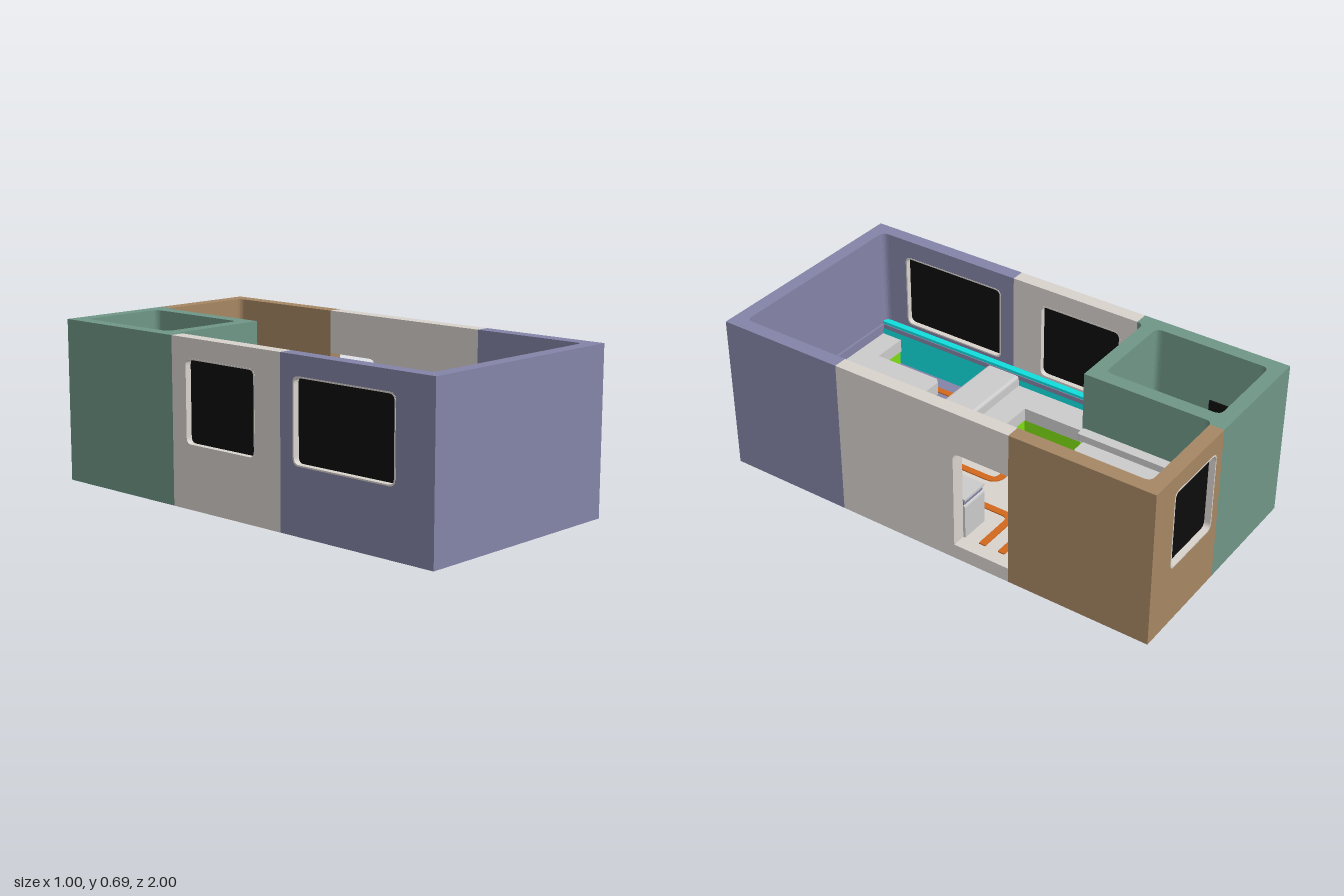
import * as THREE from 'three';

const COLORS = {
  purple: 0x8484a8, green: 0x6f9686, brown: 0xa68763, pale: 0xd9d3ce, orange: 0xd2691e,
  cyan: 0x10dede, lime: 0x7fdd14, yellow: 0xd4d410, black: 0x0c0c0c, grey: 0xcccccc,
};
const MATS = {};
for (const k in COLORS) MATS[k] = new THREE.MeshStandardMaterial({ color: COLORS[k] });

const H = 0.69, FLOOR = 0.065, T = 0.06;
const poly = pts => new THREE.Shape(pts.map(p => new THREE.Vector2(...p)));
const rect = (a, b, c, d) => poly([[a, c], [b, c], [b, d], [a, d]]);

function rounded(a, b, c, d, r, type = THREE.Shape) {
  const s = new type();
  s.moveTo(a + r, c).lineTo(b - r, c).quadraticCurveTo(b, c, b, c + r);
  s.lineTo(b, d - r).quadraticCurveTo(b, d, b - r, d);
  s.lineTo(a + r, d).quadraticCurveTo(a, d, a, d - r);
  s.lineTo(a, c + r).quadraticCurveTo(a, c, a + r, c);
  return s;
}

export function createModel() {
  const model = new THREE.Group();

  const add = (name, color, geo, parent = model) => {
    const m = new THREE.Mesh(geo, MATS[color]);
    m.name = name;
    parent.add(m);
    return m;
  };
  const extrude = (shape, depth) => new THREE.ExtrudeGeometry(shape, { depth, bevelEnabled: false, curveSegments: 6 });
  // plan shape in (x, z), from y0 up to y1
  const slab = (name, color, shape, y0, y1) =>
    add(name, color, extrude(shape, y1 - y0).rotateX(Math.PI / 2).translate(0, y1, 0));
  // upright panel in (x, y), from z0 to z1
  const panelX = (name, color, shape, z0, z1) =>
    add(name, color, extrude(shape, z1 - z0).translate(0, 0, z0));
  // upright panel in (z, y), from x0 to x1
  const panelZ = (name, color, shape, x0, x1) =>
    add(name, color, extrude(shape, x1 - x0).rotateY(-Math.PI / 2).translate(x1, 0, 0));
  const box = (name, color, x0, x1, y0, y1, z0, z1) =>
    add(name, color, new THREE.BoxGeometry(x1 - x0, y1 - y0, z1 - z0)
      .translate((x0 + x1) / 2, (y0 + y1) / 2, (z0 + z1) / 2));

  // Wall with a framed, glazed window
  function windowWall(name, color, panel, a, b, w, t0, t1, g0) {
    const wall = rect(a, b, 0, H);
    wall.holes.push(rounded(...w, 0.03, THREE.Path));
    panel(name, color, wall, t0, t1);
    const [p, q, r, s] = w, e = 0.006;
    const frame = rounded(p, q, r, s, 0.03);
    frame.holes.push(rounded(p + e, q - e, r + e, s - e, 0.026, THREE.Path));
    panel(name + 'Frame', 'pale', frame, t0 - 0.001, t1 + 0.001);
    panel(name + 'Glass', 'black', rounded(p + e, q - e, r + e, s - e, 0.026), g0, g0 + 0.012);
  }

  // Left-hand (-x) side walls
  panelZ('bathSideWall', 'green', rect(-1, -0.35, 0, H), -0.5, -0.44);
  windowWall('loungeWindowWall', 'pale', panelZ, -0.35, 0.25, [-0.275, 0.115, 0.26, 0.61], -0.5, -0.44, -0.474);
  windowWall('frontWindowWall', 'purple', panelZ, 0.25, 1, [0.315, 0.82, 0.27, 0.61], -0.5, -0.44, -0.474);
  // Door-side (+x) walls
  panelZ('backSideWall', 'brown', rect(-1, -0.375, 0, H), 0.44, 0.5);
  const doorWall = poly([[-0.375, 0], [0.435, 0], [0.435, H], [-0.375, H], [-0.375, 0.505], [-0.15, 0.505]]);
  doorWall.quadraticCurveTo(-0.12, 0.505, -0.12, 0.475).lineTo(-0.12, FLOOR).lineTo(-0.375, FLOOR);
  panelZ('entranceWall', 'pale', doorWall, 0.44, 0.5);
  panelZ('frontSideWall', 'purple', rect(0.435, 1, 0, H), 0.44, 0.5);
  // End walls
  panelX('frontWall', 'purple', rect(-0.44, 0.44, 0, H), 0.94, 1);
  panelX('bathBackWall', 'green', rect(-0.44, 0.02, 0, H), -1, -0.94);
  windowWall('backWindowWall', 'brown', panelX, 0.02, 0.44, [0.064, 0.365, 0.26, 0.615], -1, -0.94, -0.974);
  // Bathroom partitions and doorway
  panelZ('bathPartition', 'green', rect(-0.94, -0.38, 0, H), -T, 0);
  const bathFront = rect(-0.44, -T, 0, H);
  bathFront.holes.push(rounded(-0.25, -0.07, FLOOR, 0.505, 0.025, THREE.Path));
  panelX('bathDoorWall', 'green', bathFront, -0.44, -0.38);

  // Floors
  slab('bathFloor', 'green', rect(-0.44, -T, -0.94, -0.44), 0, FLOOR);
  slab('backFloor', 'brown', rect(0, 0.44, -0.94, -0.38), 0, FLOOR);
  slab('loungeFloor', 'pale', poly([[-0.44, -0.38], [0.44, -0.38], [0.44, 0.435], [0, 0.435], [0, 0.25], [-0.44, 0.25]]), 0, FLOOR);
  slab('frontFloor', 'purple', poly([[-0.44, 0.25], [0, 0.25], [0, 0.435], [0.44, 0.435], [0.44, 0.94], [-0.44, 0.94]]), 0, FLOOR);

  // Rounded inside corners of the rooms
  const fillets = [
    ['green', -0.44, -0.94, 1, 1], ['green', -T, -0.94, -1, 1], ['green', -0.44, -0.44, 1, -1], ['green', -T, -0.44, -1, -1],
    ['green', 0, -0.94, 1, 1], ['brown', 0.44, -0.94, -1, 1], ['green', -0.44, -0.38, 1, 1],
    ['purple', -0.44, 0.94, 1, -1], ['purple', 0.44, 0.94, -1, -1],
  ];
  for (const [c, x, z, sx, sz] of fillets) {
    const r = 0.03, s = new THREE.Shape();
    s.moveTo(x, z).lineTo(x + sx * r, z).quadraticCurveTo(x, z, x, z + sz * r);
    slab('cornerFillet', c, s, FLOOR, H);
  }

  // Floor tracks: straight runs joined by rounded bends, with a flat section
  function track(pts, r = 0.045, w = 0.03) {
    const v = pts.map(p => new THREE.Vector2(...p)), line = [v[0]];
    for (let i = 1; i < v.length - 1; i++) {
      const toward = o => v[i].clone().lerp(o, Math.min(r / v[i].distanceTo(o), 0.5));
      line.push(...new THREE.QuadraticBezierCurve(toward(v[i - 1]), v[i], toward(v[i + 1])).getPoints(6));
    }
    line.push(v[v.length - 1]);
    const left = [], right = [];
    line.forEach((p, i) => {
      const d = line[Math.min(i + 1, line.length - 1)].clone().sub(line[Math.max(i - 1, 0)]).normalize();
      left.push([p.x - d.y * w / 2, p.y + d.x * w / 2]);
      right.unshift([p.x + d.y * w / 2, p.y - d.x * w / 2]);
    });
    slab('floorTrack', 'orange', poly([...left, ...right]), FLOOR - 0.01, FLOOR + 0.005);
  }
  track([[0.44, -0.3], [0.265, -0.3], [0.265, -0.74], [0.14, -0.74], [0.14, -0.365], [-0.147, -0.365], [-0.147, -0.68]]);
  track([[0.44, -0.21], [0.23, -0.21], [0.23, 0.765], [0.073, 0.765], [0.073, 0.42], [-0.33, 0.42], [-0.33, 0.81]]);
  track([[-0.33, 0.385], [0.073, 0.385], [0.073, -0.02], [-0.205, -0.02], [-0.205, -0.48], [-0.3, -0.5], [-0.31, -0.68], [-0.44, -0.68]]);
  track([[-0.27, -0.94], [-0.27, -0.68], [-T, -0.68]], 0.06);
  for (const [x, z, w, d] of [[-0.25, -0.1, 0.08, 0.055], [-0.13, 0.035, 0.055, 0.1], [-0.13, 0.46, 0.055, 0.08], [-0.29, 0.62, 0.08, 0.055], [0.035, 0.62, 0.1, 0.055]])
    box('trackBranch', 'orange', x - w / 2, x + w / 2, FLOOR - 0.01, FLOOR + 0.004, z - d / 2, z + d / 2);

  // Wall panel and the band that runs round the rooms
  box('wallPanel', 'cyan', -0.44, -0.41, FLOOR, 0.255, -0.38, 0.94);
  box('sideBand', 'purple', -0.415, -0.406, 0.222, 0.243, -0.38, 0.94);
  box('doorBand', 'purple', -0.41, -0.25, 0.222, 0.243, -0.38, -0.372);
  box('frontBand', 'purple', -0.41, 0.31, 0.222, 0.243, 0.93, 0.94);
  box('bathBand', 'purple', -0.43, -0.07, 0.222, 0.243, -0.94, -0.932);

  // Lounge corner seat with a backrest
  const lSeat = i => poly([[-0.41, -0.2 + i], [-0.28 - i, -0.2 + i], [-0.28 - i, 0.08 + i], [-0.02, 0.08 + i], [-i, 0.1 + i], [-i, 0.2], [-0.41, 0.2]]);
  slab('seatBase', 'lime', lSeat(0.006), FLOOR, 0.13);
  slab('seatCushion', 'grey', lSeat(0), 0.13, 0.19);
  panelZ('seatBack', 'grey', rounded(0.2, 0.36, FLOOR, 0.24, 0.015), -0.41, -T);
  panelZ('seatBackEnd', 'grey', rounded(0.2, 0.37, FLOOR, 0.238, 0.015), -T, 0);

  // Front bench with a projecting bed section and a basin
  const bench = i => poly([[-0.41, 0.84 + i], [-0.25 + i, 0.84 + i], [-0.25 + i, 0.52 + i], [-0.23, 0.5 + i],
    [-0.02, 0.5 + i], [-i, 0.52 + i], [-i, 0.84 + i], [0.31, 0.84 + i], [0.31, 0.94], [-0.41, 0.94]]);
  slab('benchBase', 'lime', bench(0.006), FLOOR, 0.13);
  slab('benchTop', 'grey', bench(0), 0.13, 0.19);
  const rim = rounded(0.03, 0.28, 0.845, 0.905, 0.015);
  rim.holes.push(rounded(0.042, 0.268, 0.855, 0.895, 0.012, THREE.Path));
  slab('basinRim', 'grey', rim, 0.19, 0.2);

  // Open cabinet with shelves, facing -x
  function cabinet(name, z0, z1, y0, y1, r, cols) {
    const e = 0.025, s = new THREE.Shape();
    s.moveTo(z0, y0).lineTo(z1, y0).lineTo(z1, y1).lineTo(z0 + r, y1).quadraticCurveTo(z0, y1, z0, y1 - r);
    const a = z0 + e, b = z1 - 0.012, c = y0 + 0.012, d = y1 - e;
    s.holes.push(rounded(a, b, c, d, 0.01, THREE.Path));
    panelZ(name, 'grey', s, 0.31, 0.44);
    box(name + 'Back', 'yellow', 0.425, 0.435, c, d, a, b);
    for (let i = 0; i < cols; i++) {
      const p = a + (b - a) * i / cols, q = a + (b - a) * (i + 1) / cols;
      if (i) box(name + 'Divider', 'yellow', 0.318, 0.43, c, d, p - 0.004, p + 0.004);
      const y = c + (d - c) * [0.5, 0.68, 0.35][i % 3];
      if (i % 3 === 1) box(name + 'Door', 'yellow', 0.316, 0.324, c, y, p, q);
      box(name + 'Shelf', 'yellow', 0.322, 0.43, y - 0.004, y + 0.004, p, q);
    }
  }
  cabinet('upperCabinet', 0.4, 0.94, 0.25, 0.505, 0.05, 5);
  cabinet('lowerCabinet', -0.13, 0.94, FLOOR, 0.222, 0.015, 8);
  box('counterBand', 'purple', 0.314, 0.44, 0.222, 0.24, -0.125, 0.94);
  box('counterTop', 'grey', 0.31, 0.44, 0.24, 0.25, -0.13, 0.94);

  // U-shaped unit in the back room
  const u = i => poly([[0, -0.38], [0, -0.91], [0.03, -0.94], [0.41, -0.94], [0.44, -0.91], [0.44, -0.38 - i],
    [0.34 + i, -0.38 - i], [0.34 + i, -0.83], [0.32 + i, -0.85 - i], [0.08 - i, -0.85 - i], [0.08 - i, -0.76], [0.04 - i, -0.74], [0.04 - i, -0.38]]);
  slab('backUnit', 'grey', u(0), FLOOR, 0.222);
  slab('backUnitBand', 'purple', u(0.004), 0.222, 0.242);
  slab('backUnitTop', 'grey', u(0), 0.242, 0.25);
  box('backUnitTray', 'grey', 0.345, 0.43, 0.25, 0.256, -0.78, -0.67);
  slab('lowerShelf', 'grey', rounded(0, 0.08, -0.76, -0.39, 0.015), 0.36, 0.38);
  slab('upperShelf', 'grey', rounded(0, 0.045, -0.93, -0.385, 0.01), 0.41, 0.44);

  // Bathroom: toilet, basin, tub, mirror and screen
  add('toiletBowl', 'grey', new THREE.CylinderGeometry(0.036, 0.022, 0.09, 20).scale(1, 1, 1.3).translate(-0.33, 0.11, -0.873));
  box('toiletCistern', 'grey', -0.365, -0.295, FLOOR, 0.2, -0.94, -0.905);
  const sink = rounded(-0.165, -T, -0.86, -0.76, 0.01);
  sink.holes.push(rounded(-0.155, -0.085, -0.85, -0.77, 0.01, THREE.Path));
  slab('sinkRim', 'grey', sink, 0.2, 0.235);
  slab('sinkBody', 'grey', rounded(-0.16, -T, -0.855, -0.765, 0.01), 0.17, 0.205);
  box('tap', 'grey', -0.13, -T, 0.255, 0.265, -0.814, -0.806);
  const tub = rounded(-0.44, -0.33, -0.66, -0.46, 0.025);
  tub.holes.push(rounded(-0.4, -0.345, -0.63, -0.49, 0.015, THREE.Path));
  slab('tubRim', 'grey', tub, 0.09, 0.15);
  slab('tubBase', 'grey', rounded(-0.44, -0.33, -0.66, -0.46, 0.025), FLOOR, 0.09);
  box('mirror', 'black', -0.44, -0.432, 0.27, 0.45, -0.88, -0.7);
  box('showerScreen', 'grey', -0.216, -0.208, FLOOR, 0.4, -0.94, -0.81);
  return model;
}
